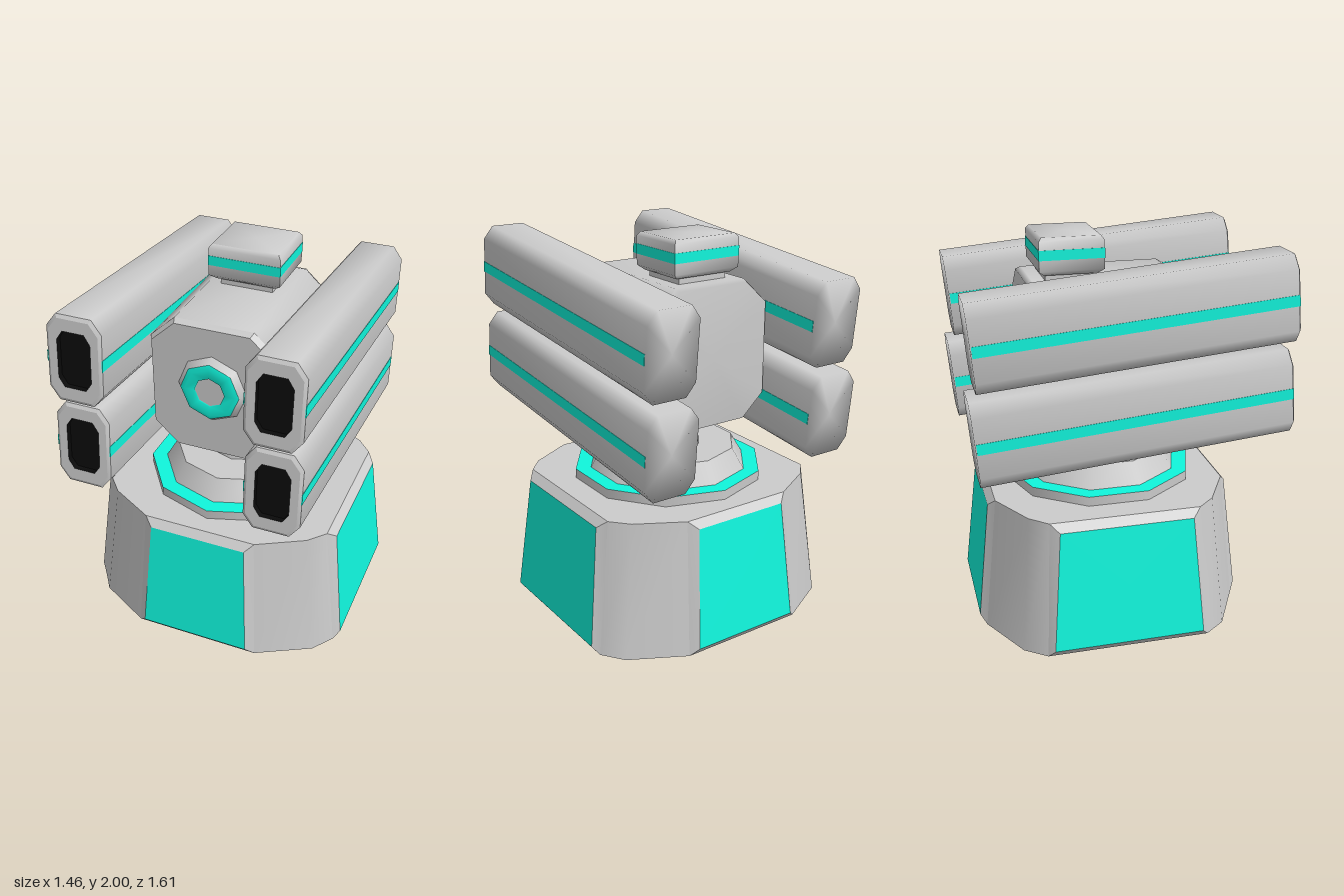
import * as THREE from 'three';
import { toCreasedNormals } from 'three/addons/utils/BufferGeometryUtils.js';

const paint = (color) => new THREE.MeshStandardMaterial({ color, side: THREE.DoubleSide });
const grey = paint(0xcccccc);
const cyan = paint(0x10f5dc);
const black = paint(0x0a0a0a);
const CZ = -0.065; // z of the turning axis

function add(parent, name, geometry, material, x = 0, y = 0, z = 0) {
  const mesh = new THREE.Mesh(geometry, material);
  mesh.name = name;
  mesh.position.set(x, y, z);
  parent.add(mesh);
  return mesh;
}

// Skin through rings of points, with optional fans closing the first and last ring
function loft(rings, { closed = true, capStart = false, capEnd = false } = {}) {
  const n = rings[0].length;
  const pos = rings.flat(2);
  const index = [];
  for (let r = 0; r < rings.length - 1; r++) {
    for (let i = 0; i < (closed ? n : n - 1); i++) {
      const a = r * n + i, b = r * n + (i + 1) % n;
      index.push(a, b, b + n, a, b + n, a + n);
    }
  }
  const cap = (r, flip) => {
    const c = pos.length / 3;
    for (let k = 0; k < 3; k++) pos.push(rings[r].reduce((s, p) => s + p[k], 0) / n);
    for (let i = 0; i < n; i++) {
      const a = r * n + i, b = r * n + (i + 1) % n;
      index.push(c, flip ? b : a, flip ? a : b);
    }
  };
  if (capStart) cap(0, true);
  if (capEnd) cap(rings.length - 1, false);
  const g = new THREE.BufferGeometry();
  g.setAttribute('position', new THREE.Float32BufferAttribute(pos, 3));
  g.setIndex(index);
  g.computeVertexNormals();
  return g;
}

// Rectangle with cut corners, counter-clockwise seen from +z
const octagon = (hx, hy, cx, cy, z) => [
  [hx, cy - hy, z], [hx, hy - cy, z], [hx - cx, hy, z], [cx - hx, hy, z],
  [-hx, hy - cy, z], [-hx, cy - hy, z], [cx - hx, -hy, z], [hx - cx, -hy, z],
];
const rectXZ = (hx, hz, y) => [[hx, y, hz], [hx, y, -hz], [-hx, y, -hz], [-hx, y, hz]];

function makeBase() {
  const base = new THREE.Group();
  base.name = 'base';
  base.position.z = CZ;

  // Rounded corner walls between the panels
  const low = [[0.70, 0, 0.42], [0.62, 0, 0.53], [0.34, 0, 0.68]];
  const high = [[0.62, 0.7, 0.385], [0.54, 0.7, 0.475], [0.305, 0.7, 0.605]];
  const deck = [];
  for (const [sx, sz] of [[1, -1], [-1, -1], [-1, 1], [1, 1]]) {
    const place = (pts) => {
      const out = pts.map(([x, y, z]) => [x * sx, y, z * sz]);
      return sx * sz > 0 ? out.reverse() : out;
    };
    add(base, 'baseCorner', loft([place(low), place(high)], { closed: false }), grey);
    deck.push(...place(high));
  }
  add(base, 'baseDeck', loft([deck], { capEnd: true }), grey);

  // Four raised panels with bevelled frames
  const quad = (w0, y0, z0, w1, y1, z1) => [[-w0, y0, z0], [w0, y0, z0], [w1, y1, z1], [-w1, y1, z1]];
  const front = [quad(0.34, 0, 0.68, 0.305, 0.7, 0.605), quad(0.297, 0.04, 0.71, 0.26, 0.66, 0.64)];
  const side = [quad(0.42, 0, 0.70, 0.385, 0.7, 0.62), quad(0.388, 0.04, 0.73, 0.34, 0.66, 0.66)];
  for (let k = 0; k < 4; k++) {
    const [frame, face] = k % 2 ? side : front;
    const frameGeo = toCreasedNormals(loft([frame, face]), 0.5);
    add(base, 'panelFrame', frameGeo, grey).rotation.y = k * Math.PI / 2;
    add(base, 'panel', loft([face], { capEnd: true }), cyan).rotation.y = k * Math.PI / 2;
  }

  // Ten-sided turntable, cone and neck
  add(base, 'turntable', new THREE.CylinderGeometry(0.507, 0.507, 0.05, 10), [grey, cyan, grey], 0, 0.725);
  add(base, 'turntableCone', new THREE.CylinderGeometry(0.36, 0.425, 0.11, 10), grey, 0, 0.805);
  add(base, 'neck', new THREE.CylinderGeometry(0.125, 0.175, 0.24, 10), grey, 0, 0.98);
  return base;
}

function makeHead() {
  const head = new THREE.Group();
  head.name = 'head';
  head.position.y = 1.415;
  const section = (s, z) => octagon(0.335 * s, 0.365 * s, 0.13 * s, 0.12 * s, z);
  add(head, 'headBody', loft([section(0.97, -0.45), section(1, -0.42), section(1, 0.31)], { capStart: true }), grey);
  const plate = loft([section(1, 0.31), section(0.955, 0.34)], { capEnd: true });
  add(head, 'frontPlate', toCreasedNormals(plate, 0.5), grey);

  // Eight-sided eye on the front plate
  const ring = (pts) => new THREE.LatheGeometry(pts.map((p) => new THREE.Vector2(...p)), 8);
  const eye = new THREE.Group();
  eye.name = 'eye';
  eye.position.y = 0.025;
  eye.rotation.x = Math.PI / 2;
  add(eye, 'eyeMount', ring([[0.185, 0.335], [0.155, 0.375]]), grey);
  add(eye, 'eyeRing', ring([[0.155, 0.375], [0.13, 0.383], [0.08, 0.38], [0.08, 0.37]]), cyan);
  add(eye, 'eyeCentre', ring([[0.08, 0.372], [0, 0.372]]), grey);
  head.add(eye);
  return head;
}

function makeSensor() {
  const sensor = new THREE.Group();
  sensor.name = 'sensor';
  sensor.position.z = -0.23;
  const body = loft([
    rectXZ(0.16, 0.135, 1.81), rectXZ(0.19, 0.163, 1.835),
    rectXZ(0.19, 0.163, 1.98), rectXZ(0.175, 0.148, 2),
  ], { capStart: true, capEnd: true });
  add(sensor, 'sensorBody', toCreasedNormals(body, 0.95), grey);
  add(sensor, 'sensorBand', new THREE.BoxGeometry(0.384, 0.05, 0.33), cyan, 0, 1.915);
  add(sensor, 'sensorFoot', new THREE.BoxGeometry(0.28, 0.06, 0.25), grey, 0, 1.79);
  return sensor;
}

function makeTube() {
  const tube = new THREE.Group();
  tube.name = 'launchTube';
  const h = 0.79;
  const outer = (z) => octagon(0.14, 0.217, 0.05, 0.065, z);
  const rim = (z) => octagon(0.125, 0.2, 0.045, 0.058, z);
  const mouth = (z) => octagon(0.085, 0.14, 0.03, 0.045, z);
  add(tube, 'tubeBody', loft([outer(-h), outer(h - 0.01)], { capStart: true }), grey);
  add(tube, 'tubeRim', toCreasedNormals(loft([outer(h - 0.01), rim(h), mouth(h)]), 0.4), grey);
  add(tube, 'tubeBore', loft([mouth(h), mouth(h - 0.03)]), black);
  add(tube, 'tubeMouth', loft([mouth(h - 0.03)], { capEnd: true }), black);
  // Stripe on both flanks
  for (const s of [-1, 1]) {
    add(tube, 'tubeStripe', new THREE.BoxGeometry(0.004, 0.055, 2 * h - 0.012), cyan, s * 0.14);
  }
  return tube;
}

export function createModel() {
  const model = new THREE.Group();
  model.name = 'launcherTurret';
  model.add(makeBase(), makeHead(), makeSensor());
  // Two stacked tubes on each side, muzzles tilted up
  for (const s of [-1, 1]) {
    for (const y of [1.663, 1.193]) {
      const tube = makeTube();
      tube.position.set(s * 0.482, y, 0);
      tube.rotation.x = -0.089;
      model.add(tube);
    }
  }
  return model;
}
